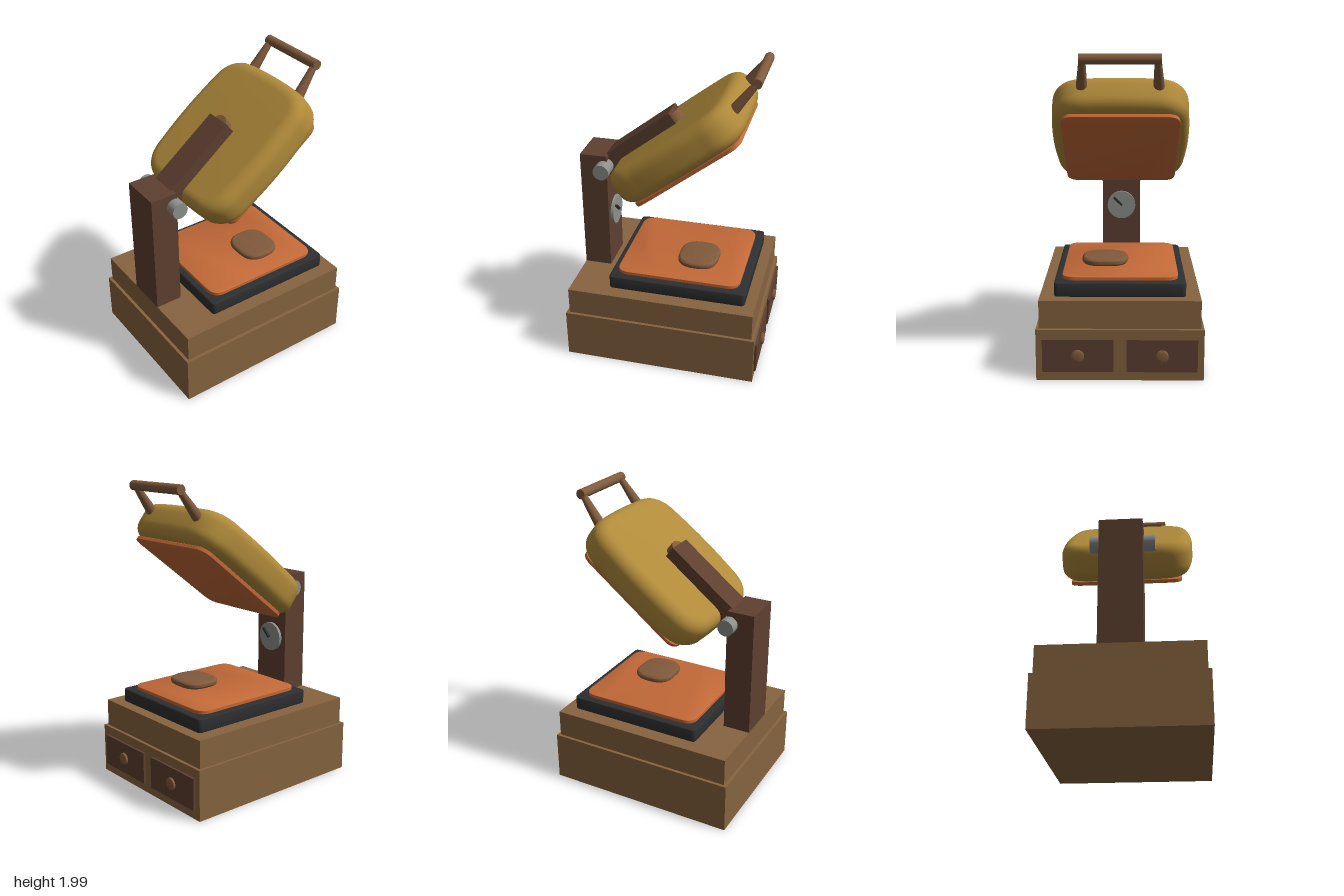
import * as THREE from 'three';
import { toCreasedNormals } from 'three/addons/utils/BufferGeometryUtils.js';

const mat = (name, color) => {
  const m = new THREE.MeshStandardMaterial({ color });
  m.name = name;
  return m;
};

// Rounded rectangle outline with optionally bowed sides
function outline(a, b, r, bow = 0) {
  const s = new THREE.Shape();
  s.moveTo(-a + r, -b);
  s.quadraticCurveTo(0, -b - bow, a - r, -b);
  s.quadraticCurveTo(a, -b, a, -b + r);
  s.quadraticCurveTo(a + 2 * bow, 0, a, b - r);
  s.quadraticCurveTo(a, b, a - r, b);
  s.quadraticCurveTo(0, b + bow, -a + r, b);
  s.quadraticCurveTo(-a, b, -a, b - r);
  s.quadraticCurveTo(-a - 2 * bow, 0, -a, -b + r);
  s.quadraticCurveTo(-a, -b, -a + r, -b);
  return s;
}

// Flat-lying rounded slab, centred on its own origin; a and b are half sizes in x and z
function slab(a, b, h, r, bevel, bevelH = bevel, bow = 0) {
  const g = new THREE.ExtrudeGeometry(outline(a - bevel, b - bevel, r, bow), {
    depth: h - 2 * bevelH, bevelEnabled: true, bevelSize: bevel,
    bevelThickness: bevelH, bevelSegments: 6, curveSegments: 10,
  });
  g.translate(0, 0, -(h - 2 * bevelH) / 2);
  g.rotateX(-Math.PI / 2);
  return toCreasedNormals(g, 0.7);
}

export function createModel() {
  const model = new THREE.Group();
  model.name = 'hingedPress';

  const wood = mat('wood', 0x86643f);
  const darkWood = mat('darkWood', 0x5e4030);
  const handleWood = mat('handleWood', 0x805a3c);
  const mustard = mat('mustard', 0xb08a3a);
  const copper = mat('copper', 0xc46a38);
  const charcoal = mat('charcoal', 0x2e2f30);
  const steel = mat('steel', 0x8e918b);

  const add = (parent, name, geo, material, x = 0, y = 0, z = 0) => {
    const m = new THREE.Mesh(geo, material);
    m.name = name;
    m.position.set(x, y, z);
    parent.add(m);
    return m;
  };
  // Box given by its two limits on each axis
  const box = (parent, name, material, x0, x1, y0, y1, z0, z1) =>
    add(parent, name, new THREE.BoxGeometry(x1 - x0, y1 - y0, z1 - z0), material,
      (x0 + x1) / 2, (y0 + y1) / 2, (z0 + z1) / 2);
  // Tapered rod between two points
  const rod = (parent, name, material, p, q, r0, r1) => {
    const a = new THREE.Vector3(...p), b = new THREE.Vector3(...q);
    const dir = b.clone().sub(a);
    const m = add(parent, name, new THREE.CylinderGeometry(r1, r0, dir.length(), 24), material);
    m.position.copy(a).add(b).multiplyScalar(0.5);
    m.quaternion.setFromUnitVectors(new THREE.Vector3(0, 1, 0), dir.normalize());
    return m;
  };

  // Stepped base
  box(model, 'baseLower', wood, -0.52, 0.52, 0, 0.33, -0.62, 0.655);
  box(model, 'baseUpper', wood, -0.5, 0.5, 0.33, 0.51, -0.6, 0.635);

  // Drawers with round pulls
  for (const s of [-1, 1]) {
    add(model, 'drawer', new THREE.BoxGeometry(0.44, 0.21, 0.03), darkWood, s * 0.26, 0.165, -0.62);
    rod(model, 'drawerPull', handleWood, [s * 0.26, 0.165, -0.63], [s * 0.26, 0.165, -0.648], 0.04, 0.04);
    const cap = add(model, 'drawerPullCap', new THREE.SphereGeometry(0.04, 20, 12), handleWood,
      s * 0.26, 0.165, -0.647);
    cap.scale.z = 0.2;
  }

  // Lower bed, its plate and the patty on it
  add(model, 'bed', slab(0.41, 0.455, 0.09, 0.02, 0.008), charcoal, 0, 0.555, -0.075);
  add(model, 'lowerPlate', slab(0.365, 0.41, 0.025, 0.08, 0.004), copper, 0, 0.6125, -0.07);
  add(model, 'patty', slab(0.15, 0.135, 0.045, 0.1, 0.022), handleWood, 0.1, 0.6575, -0.165);

  // Upright post, hinge pin and dial
  box(model, 'post', darkWood, -0.135, 0.135, 0.51, 1.335, 0.455, 0.635);
  rod(model, 'hingePin', steel, [-0.205, 1.25, 0.475], [0.205, 1.25, 0.475], 0.053, 0.053);
  rod(model, 'dial', steel, [0, 0.88, 0.46], [0, 0.88, 0.435], 0.1, 0.1);
  const needle = add(model, 'dialNeedle', new THREE.BoxGeometry(0.08, 0.014, 0.02), charcoal, 0.025, 0.907, 0.427);
  needle.rotation.z = 0.78;

  // Raised lid: local y is its thickness, local -z runs up towards the handle
  const lid = new THREE.Group();
  lid.name = 'lid';
  lid.position.set(0, 1.477, -0.037);
  lid.rotation.x = THREE.MathUtils.degToRad(38);
  model.add(lid);

  add(lid, 'lidBody', slab(0.425, 0.485, 0.24, 0.14, 0.08, 0.08, 0.014), mustard);
  add(lid, 'upperPlate', slab(0.365, 0.415, 0.025, 0.08, 0.004), copper, 0, -0.135, 0);
  box(lid, 'arm', darkWood, -0.09, 0.09, 0.067, 0.2, -0.045, 0.56);
  rod(lid, 'armBolt', handleWood, [0, 0.1, -0.018], [0, 0.18, -0.018], 0.065, 0.065);

  // Carrying handle
  for (const s of [-1, 1]) {
    rod(lid, 'handlePost', handleWood, [s * 0.235, 0.025, -0.45], [s * 0.222, 0.087, -0.68], 0.036, 0.02);
  }
  rod(lid, 'handleBar', handleWood, [-0.243, 0.087, -0.68], [0.243, 0.087, -0.68], 0.031, 0.031);

  return model;
}
